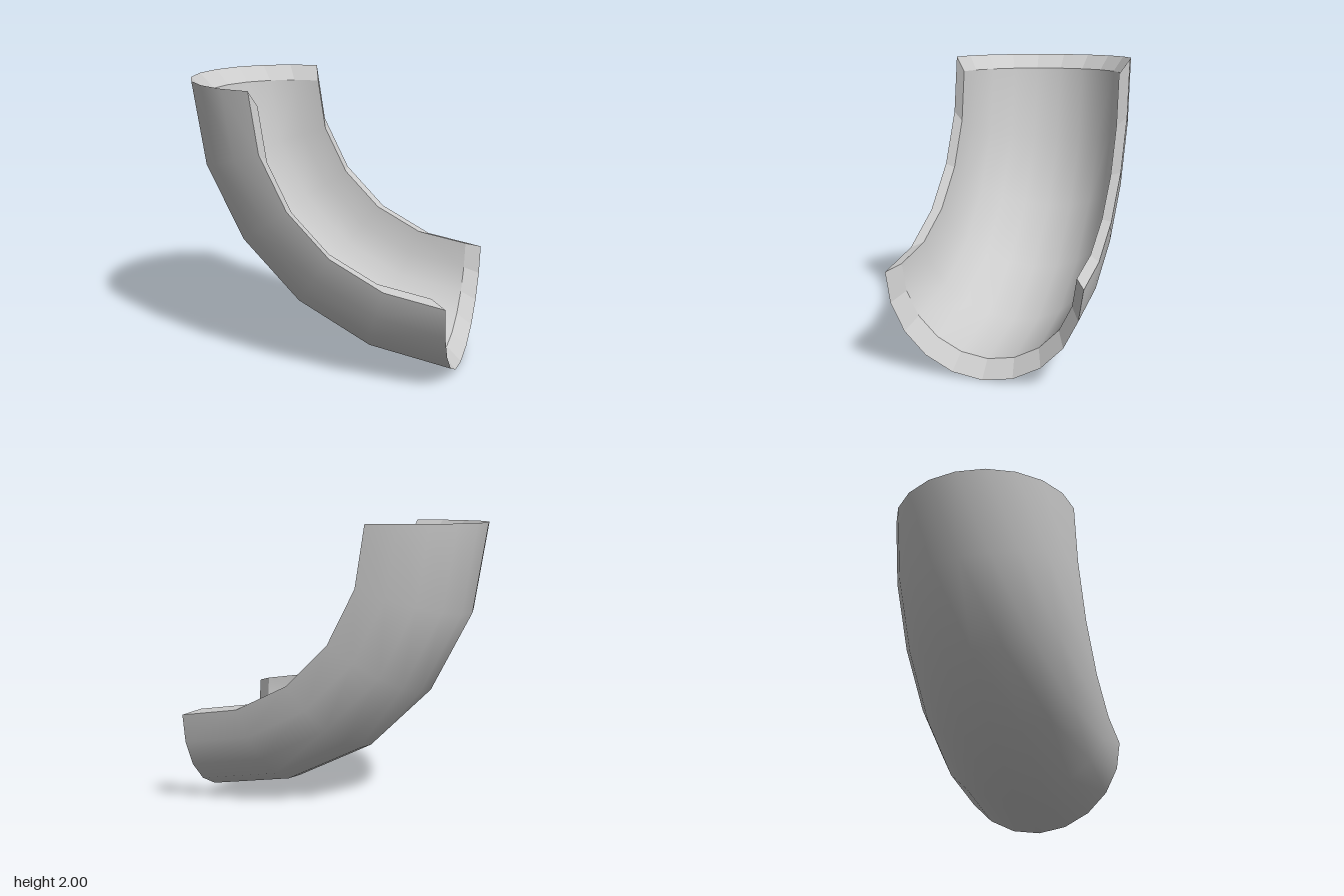
import * as THREE from 'three';

const BEND = 5;      // segments along the bend
const ARC = 10;      // segments across the half pipe
const INNER = 0.893; // inner shell is the outer one shrunk about (0, 1, 0)

// Point on the half-pipe bend: i runs along the bend, j across it
function point(i, j, scale) {
  const a = (i / BEND) * Math.PI / 2;
  const b = (j / ARC) * Math.PI;
  const reach = 4 / 3 + (2 / 3) * Math.sin(b);
  return new THREE.Vector3(
    scale * (1 - reach * Math.cos(a)),
    1 + scale * (1 - reach * Math.sin(a)),
    scale * (2 / 3) * Math.cos(b)
  );
}

// Smooth curved shell, facing outward or into the trough
function shell(scale, inward) {
  const points = [], index = [];
  for (let i = 0; i <= BEND; i++) {
    for (let j = 0; j <= ARC; j++) points.push(point(i, j, scale));
  }
  for (let i = 0; i < BEND; i++) {
    for (let j = 0; j < ARC; j++) {
      const p = i * (ARC + 1) + j, q = p + ARC + 1;
      if (inward) index.push(p, q, p + 1, q, q + 1, p + 1);
      else index.push(p, p + 1, q, q, p + 1, q + 1);
    }
  }
  const geometry = new THREE.BufferGeometry().setFromPoints(points);
  geometry.setIndex(index);
  geometry.computeVertexNormals();
  return geometry;
}

// Faceted bevel joining both shells around the open perimeter
function rim() {
  const loop = [];
  for (let j = 0; j < ARC; j++) loop.push([0, j]);
  for (let i = 0; i < BEND; i++) loop.push([i, ARC]);
  for (let j = ARC; j > 0; j--) loop.push([BEND, j]);
  for (let i = BEND; i > 0; i--) loop.push([i, 0]);
  const points = [];
  loop.forEach((start, k) => {
    const end = loop[(k + 1) % loop.length];
    const a0 = point(...start, 1), a1 = point(...end, 1);
    const b0 = point(...start, INNER), b1 = point(...end, INNER);
    points.push(a0, b0, a1, b0, b1, a1);
  });
  const geometry = new THREE.BufferGeometry().setFromPoints(points);
  geometry.computeVertexNormals();
  return geometry;
}

export function createModel() {
  const group = new THREE.Group();
  group.name = 'halfPipeBend';
  const smooth = new THREE.MeshStandardMaterial({ color: 0xcccccc });
  const flat = new THREE.MeshStandardMaterial({ color: 0xcccccc, flatShading: true });
  const add = (name, geometry, material) => {
    const mesh = new THREE.Mesh(geometry, material);
    mesh.name = name;
    group.add(mesh);
  };
  add('outerShell', shell(1, false), smooth);
  add('innerTrough', shell(INNER, true), smooth);
  add('bevelledRim', rim(), flat);
  return group;
}
